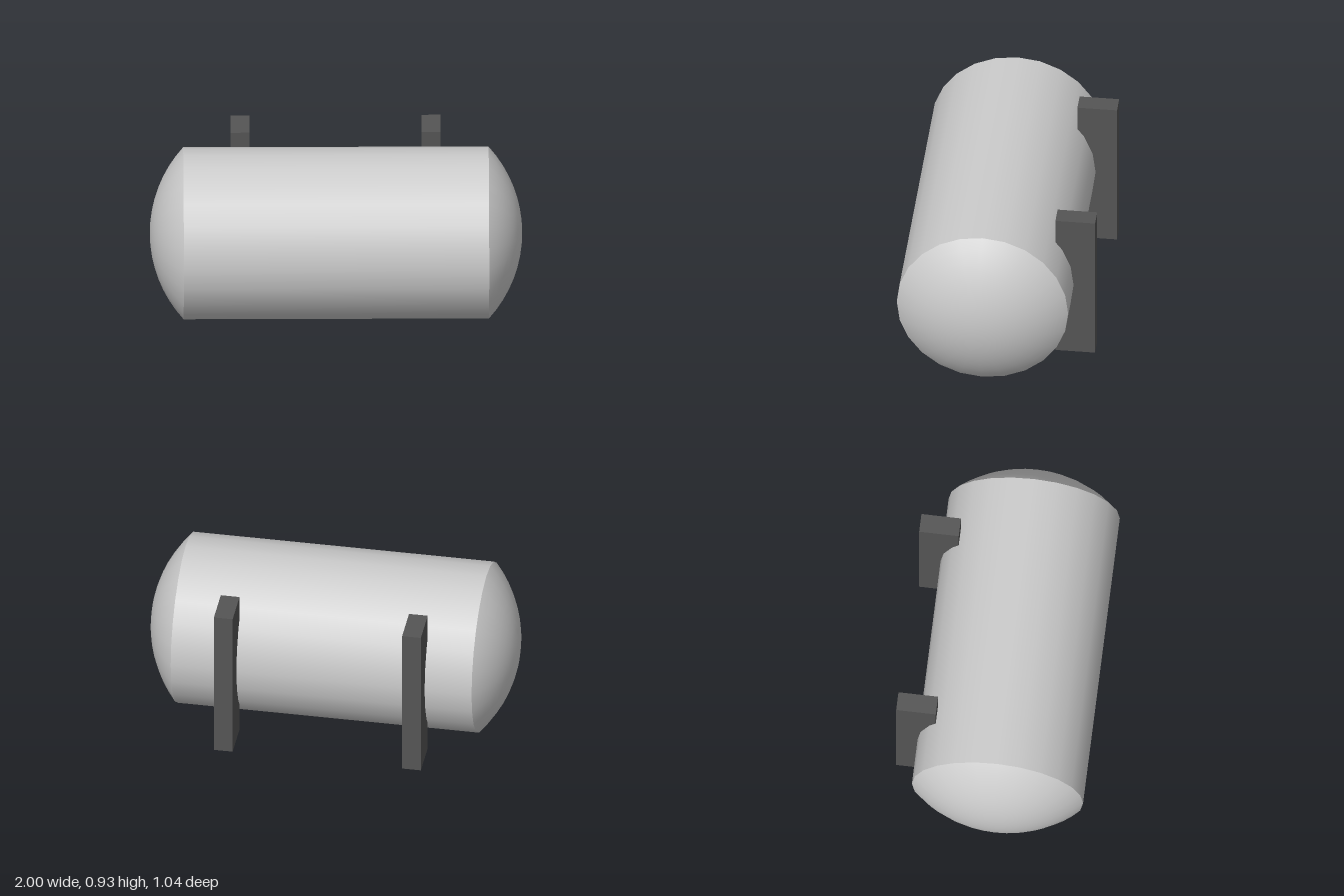
import * as THREE from 'three';

export function createModel() {
  const group = new THREE.Group();
  const steel = new THREE.MeshStandardMaterial({ color: 0xcccccc });
  const dark = new THREE.MeshStandardMaterial({ color: 0x555555 });

  const radius = 0.463, halfLength = 0.82, bulge = 0.18, sides = 24;

  // Tank lies along x, slightly in front of the centre
  const tank = new THREE.Group();
  tank.name = 'tank';
  tank.position.set(0, radius + 0.003, 0.058);
  group.add(tank);

  const shell = new THREE.Mesh(
    new THREE.CylinderGeometry(radius, radius, halfLength * 2, sides, 1, true).rotateZ(Math.PI / 2),
    steel
  );
  shell.name = 'tankShell';
  tank.add(shell);

  // Shallow domed ends: caps of a larger sphere that meet the shell rim
  const domeRadius = (radius ** 2 + bulge ** 2) / (2 * bulge);
  const domeAngle = Math.asin(radius / domeRadius);

  for (const side of [-1, 1]) {
    const name = side > 0 ? 'left' : 'right';

    const dome = new THREE.Mesh(
      new THREE.SphereGeometry(domeRadius, sides, 8, 0, Math.PI * 2, 0, domeAngle)
        .rotateZ(-side * Math.PI / 2),
      steel
    );
    dome.name = name + 'Dome';
    dome.position.x = side * (halfLength + bulge - domeRadius);
    tank.add(dome);

    // Upright mounting bar let into the back of the tank
    const bar = new THREE.Mesh(new THREE.BoxGeometry(0.102, 0.863, 0.214), dark);
    bar.name = name + 'MountingBar';
    bar.position.set(side * 0.513, 0.456, -0.414);
    group.add(bar);
  }

  return group;
}
